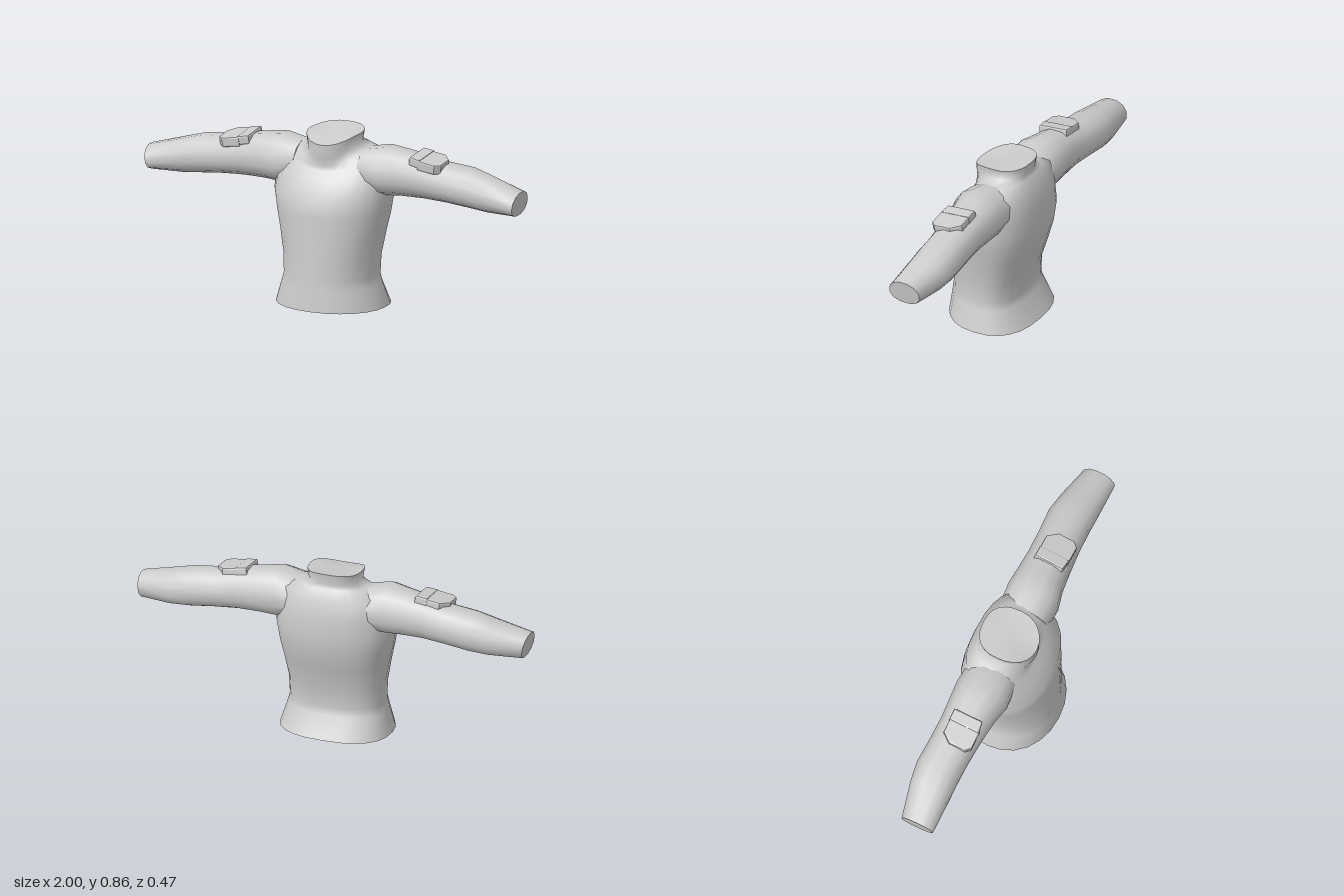
import * as THREE from 'three';

const SEG = 24;
const spow = (v, p) => Math.sign(v) * Math.pow(Math.abs(v), p);

// Skin a list of point rings, with flat caps at both ends
function loft(rings) {
  const pos = [], idx = [], n = rings[0].length;
  rings.forEach(r => r.forEach(p => pos.push(p.x, p.y, p.z)));
  for (let i = 0; i < rings.length - 1; i++) {
    for (let j = 0; j < n; j++) {
      const k = (j + 1) % n, a = i * n + j, b = i * n + k;
      idx.push(a, a + n, b, b, a + n, b + n);
    }
  }
  [rings[0], rings[rings.length - 1]].forEach((ring, end) => {
    const base = pos.length / 3;
    const c = ring.reduce((s, p) => s.add(p), new THREE.Vector3()).divideScalar(n);
    ring.forEach(p => pos.push(p.x, p.y, p.z));
    pos.push(c.x, c.y, c.z);
    for (let j = 0; j < n; j++) {
      const a = base + j, b = base + (j + 1) % n;
      if (end) idx.push(base + n, b, a);
      else idx.push(base + n, a, b);
    }
  });
  const g = new THREE.BufferGeometry();
  g.setAttribute('position', new THREE.Float32BufferAttribute(pos, 3));
  g.setIndex(idx);
  g.computeVertexNormals();
  return g;
}

// Mirror a geometry across x = 0 and restore its winding
function mirrored(geo) {
  const g = geo.clone().scale(-1, 1, 1);
  const old = g.index ? Array.from(g.index.array) : Array.from({ length: g.attributes.position.count }, (_, i) => i);
  for (let i = 0; i < old.length; i += 3) [old[i + 1], old[i + 2]] = [old[i + 2], old[i + 1]];
  g.setIndex(old);
  g.computeVertexNormals();
  return g;
}

// Torso ring: heights at side, front and back may differ
function torsoRing([hw, zf, zb, ys, yf = ys, yb = ys, zc = -0.01]) {
  return Array.from({ length: SEG }, (_, j) => {
    const t = j / SEG * Math.PI * 2, c = Math.cos(t), s = Math.sin(t);
    const front = s >= 0, e = front ? 0.95 : 0.8;
    return new THREE.Vector3(
      hw * spow(c, e),
      THREE.MathUtils.lerp(ys, front ? yf : yb, s * s),
      zc + Math.pow(Math.abs(s), e) * (front ? zf - zc : zb - zc));
  });
}

// Sleeve ring: rounded, narrower at the top than at the bottom
function sleeveRing([x, yt, yb, zf, zb, lean = 0]) {
  const n = 12, ym = (yt + yb) / 2, zm = (zf + zb) / 2;
  return Array.from({ length: n }, (_, j) => {
    const t = (j + 0.5) / n * Math.PI * 2, c = Math.cos(t) / Math.cos(Math.PI / n), s = Math.sin(t) / Math.cos(Math.PI / n);
    const y = ym + spow(s, 0.9) * (yt - yb) / 2;
    const z = zm + spow(c, 0.85) * (zf - zb) / 2 * (s > 0 ? 1 - 0.12 * s : 1);
    return new THREE.Vector3(x + lean * s, THREE.MathUtils.clamp(y, yb, yt), THREE.MathUtils.clamp(z, zb, zf));
  });
}

// Bevelled slab drawn in plan (x, z) and raised along y
function slab(points, height, bevel) {
  const shape = new THREE.Shape(points.map(([x, z]) => new THREE.Vector2(x, -z)));
  return new THREE.ExtrudeGeometry(shape, {
    depth: height - bevel * 2, bevelEnabled: true, bevelSize: bevel,
    bevelThickness: bevel, bevelOffset: -bevel, bevelSegments: 2,
  }).rotateX(-Math.PI / 2).translate(0, bevel - height, 0);
}

export function createModel() {
  const model = new THREE.Group();
  model.name = 'longSleeveShirt';
  const cloth = new THREE.MeshStandardMaterial({ color: 0xcccccc });
  cloth.name = 'greyCloth';
  const add = (name, geo) => {
    const m = new THREE.Mesh(geo, cloth);
    m.name = name;
    model.add(m);
  };

  // Body from hem to collar rim: half width, front z, back z, side y, front y, back y
  add('torsoAndCollar', loft([
    [0.28, 0.235, -0.222, 0],
    [0.247, 0.224, -0.162, 0.11],
    [0.236, 0.221, -0.155, 0.15],
    [0.241, 0.215, -0.16, 0.25],
    [0.263, 0.207, -0.198, 0.37],
    [0.283, 0.202, -0.222, 0.46],
    [0.298, 0.195, -0.232, 0.55],
    [0.29, 0.14, -0.223, 0.65, 0.635, 0.64],
    [0.255, 0.112, -0.209, 0.755, 0.675, 0.725, -0.04],
    [0.175, 0.102, -0.172, 0.778, 0.692, 0.782, -0.04],
    [0.125, 0.114, -0.163, 0.788, 0.73, 0.802, -0.03],
    [0.134, 0.115, -0.171, 0.843, 0.802, 0.857, -0.03],
  ].map(torsoRing)));

  // Sleeve: x, top, bottom, front, back, lean of the cuff
  const sleeve = loft([
    [0.17, 0.775, 0.58, 0.085, -0.17],
    [0.28, 0.797, 0.562, 0.092, -0.178],
    [0.37, 0.784, 0.566, 0.07, -0.172],
    [0.48, 0.766, 0.566, 0.058, -0.166],
    [0.6, 0.742, 0.558, 0.048, -0.17],
    [0.72, 0.73, 0.545, 0.045, -0.176],
    [0.82, 0.703, 0.536, 0.045, -0.162],
    [0.99, 0.654, 0.536, 0.044, -0.122, 0.01],
  ].map(sleeveRing));

  // Upper-arm patch: a raised band beside a tapered flap
  const place = g => g.rotateX(0.1).rotateZ(-0.14).translate(0.515, 0.772, 0);
  const band = place(slab([[-0.08, -0.11], [-0.02, -0.11], [-0.02, 0.048], [-0.08, 0.04]], 0.045, 0.008));
  const flap = place(slab([[-0.03, -0.108], [0.045, -0.108], [0.085, -0.06], [0.085, 0.025], [0.06, 0.05], [-0.03, 0.05]], 0.05, 0.008)
    .translate(0, -0.004, 0));

  for (const [name, geo] of [['Sleeve', sleeve], ['ArmBand', band], ['ArmFlap', flap]]) {
    add('left' + name, geo);
    add('right' + name, mirrored(geo));
  }
  return model;
}
